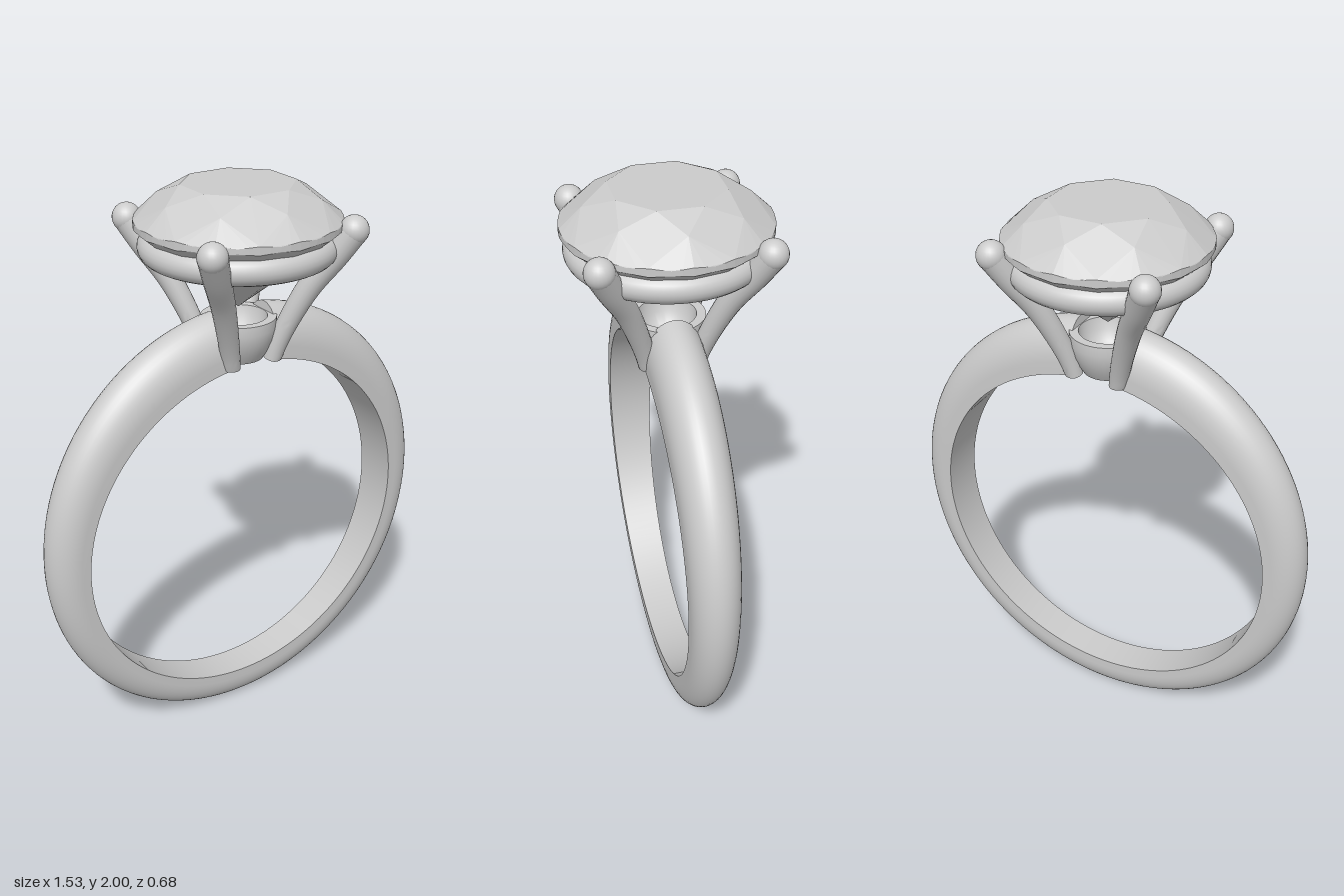
import * as THREE from 'three';
import { toCreasedNormals } from 'three/addons/utils/BufferGeometryUtils.js';
import { ConvexGeometry } from 'three/addons/geometries/ConvexGeometry.js';

const material = new THREE.MeshStandardMaterial({ color: 0xcccccc });
const lerp = THREE.MathUtils.lerp;

function addMesh(parent, name, geometry, mat = material) {
  const mesh = new THREE.Mesh(geometry, mat);
  mesh.name = name;
  parent.add(mesh);
  return mesh;
}

// Open band swept round the finger: flat inside, domed outside,
// thicker and wider towards the top, with a gap for the setting.
function bandGeometry() {
  const profile = [[1, 0]]; // [across, depth]
  for (let i = 0; i <= 20; i++) {
    const a = (i / 20) * Math.PI;
    profile.push([Math.cos(a), 0.25 + 0.75 * Math.sin(a)]);
  }
  profile.push([-1, 0], [-1, 0], [1, 0]); // repeated corners keep the inner edge sharp
  const n = profile.length, steps = 128, gap = 0.135;
  const positions = [], index = [];
  const addRing = (t) => {
    const s = Math.sin(t), c = Math.cos(t);
    const halfWidth = lerp(0.064, 0.097, (1 + c) / 2);
    for (const [u, v] of profile) {
      positions.push(lerp(0.64, 0.766, v) * s,
        lerp(0.77 + 0.64 * c, 0.795 + 0.795 * c, v), u * halfWidth);
    }
  };
  for (let i = 0; i <= steps; i++) addRing(lerp(gap, 2 * Math.PI - gap, i / steps));
  for (let i = 0; i < steps; i++) {
    for (let j = 0; j < n - 1; j++) {
      if (j === n - 3) continue;
      const a = i * n + j, b = a + n;
      index.push(a, b, a + 1, b, b + 1, a + 1);
    }
  }
  // End caps
  const first = (steps + 1) * n, last = first + n;
  addRing(gap);
  addRing(2 * Math.PI - gap);
  for (let j = 1; j < n - 3; j++) {
    index.push(first, first + j, first + j + 1, last, last + j + 1, last + j);
  }
  const geometry = new THREE.BufferGeometry();
  geometry.setAttribute('position', new THREE.Float32BufferAttribute(positions, 3));
  geometry.setIndex(index);
  geometry.computeVertexNormals();
  return geometry;
}

// Tapered claw, curving outwards and cut flat at its foot
function prongGeometry() {
  const path = [[0.08, 1.39], [0.092, 1.45], [0.122, 1.55], [0.168, 1.67], [0.225, 1.78], [0.265, 1.865]];
  const curve = new THREE.CatmullRomCurve3(path.map(([d, y]) => new THREE.Vector3(d, y, d)));
  const steps = 30, sides = 20;
  const geometry = new THREE.TubeGeometry(curve, steps, 1, sides, false);
  const pos = geometry.attributes.position, v = new THREE.Vector3();
  for (let i = 0; i <= steps; i++) {
    const centre = curve.getPointAt(i / steps);
    const radius = i === 0 ? 0 : lerp(0.031, 0.048, i / steps);
    for (let j = 0; j <= sides; j++) {
      const k = i * (sides + 1) + j;
      v.fromBufferAttribute(pos, k).sub(centre).multiplyScalar(radius).add(centre);
      pos.setXYZ(k, v.x, Math.max(v.y, 1.405), v.z);
    }
  }
  return toCreasedNormals(geometry, 0.7);
}

// Round brilliant-cut stone as the hull of its facet corners
function stoneGeometry() {
  const points = [new THREE.Vector3(0, 1.583, 0)];
  const polar = (r, a, y) => points.push(new THREE.Vector3(r * Math.sin(a), y, r * Math.cos(a)));
  for (let i = 0; i < 8; i++) {
    const a = (i * Math.PI) / 4;
    polar(0.19, a + Math.PI / 8, 2);  // table
    polar(0.27, a, 1.956);            // star facet tips
    polar(0.1, a, 1.66);              // lower facet tips
  }
  for (let i = 0; i < 64; i++) {      // scalloped girdle
    const a = (i * Math.PI) / 32;
    const dip = 0.006 * Math.sin(8 * a) ** 2;
    polar(0.341, a, 1.89 - dip);
    polar(0.341, a, 1.862 + dip);
  }
  return new ConvexGeometry(points);
}

export function createModel() {
  const ring = new THREE.Group();
  ring.name = 'ring';

  addMesh(ring, 'band', bandGeometry());

  const setting = new THREE.Group();
  setting.name = 'setting';
  ring.add(setting);

  // Hollow cup with a small drain hole
  const cup = [[0.03, 1.408], [0.085, 1.408], [0.105, 1.44], [0.122, 1.48], [0.131, 1.52],
    [0.129, 1.553], [0.098, 1.553], [0.09, 1.51], [0.07, 1.475], [0.03, 1.455], [0.03, 1.408]];
  const cupGeometry = new THREE.LatheGeometry(cup.map(([r, y]) => new THREE.Vector2(r, y)), 48);
  addMesh(setting, 'cup', toCreasedNormals(cupGeometry, 0.7));

  // Ring under the stone
  const gallery = addMesh(setting, 'galleryRing', new THREE.TorusGeometry(0.284, 0.047, 20, 72));
  gallery.rotation.x = Math.PI / 2;
  gallery.position.y = 1.797;

  // Four claws with ball tips
  const claw = prongGeometry();
  const ball = new THREE.SphereGeometry(0.049, 24, 16);
  for (let i = 0; i < 4; i++) {
    const prong = new THREE.Group();
    prong.name = 'prong';
    prong.rotation.y = (i * Math.PI) / 2;
    addMesh(prong, 'claw', claw);
    addMesh(prong, 'clawTip', ball).position.set(0.265, 1.865, 0.265);
    setting.add(prong);
  }

  const stoneMaterial = material.clone();
  stoneMaterial.flatShading = true;
  addMesh(ring, 'stone', stoneGeometry(), stoneMaterial);

  return ring;
}
